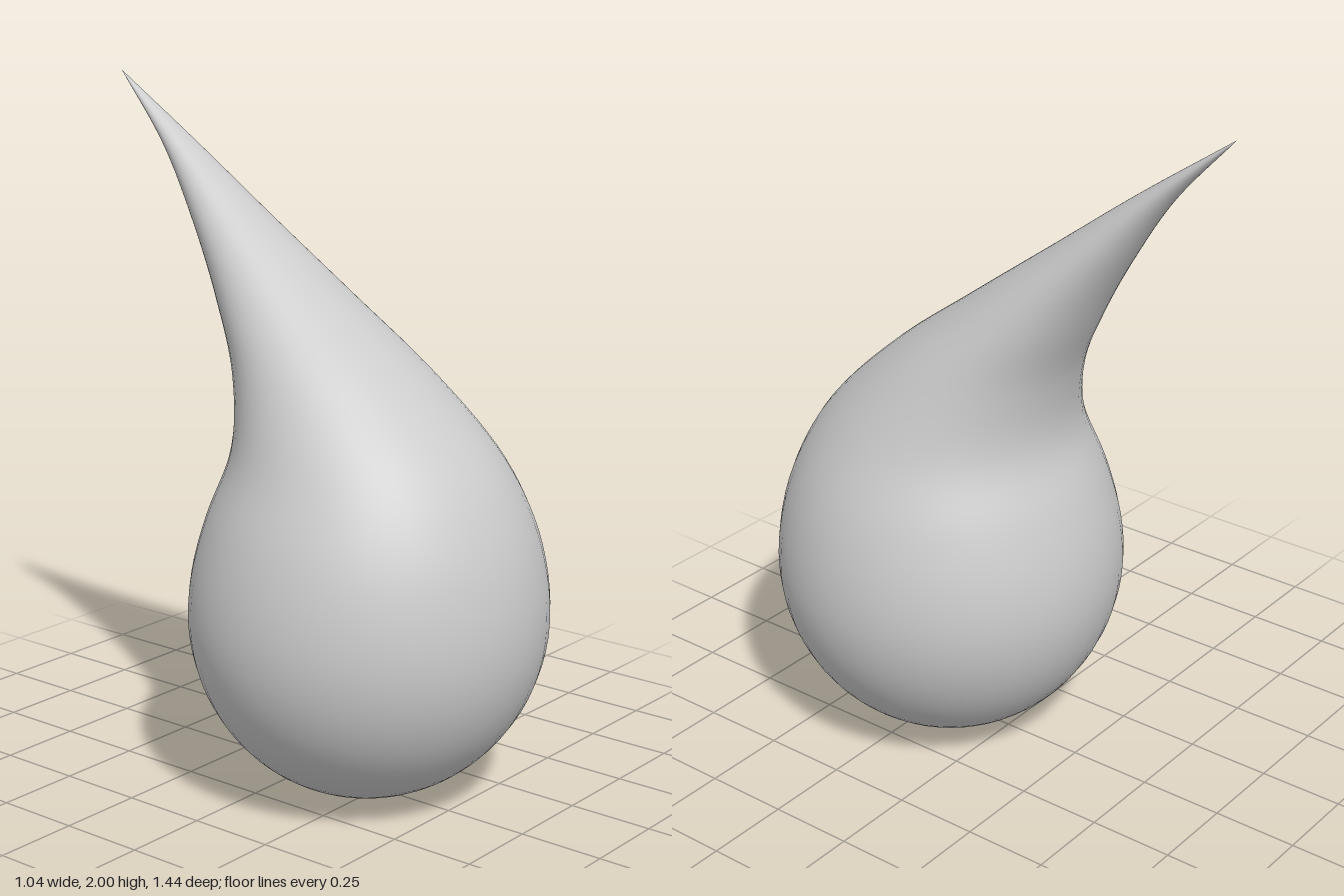
import * as THREE from 'three';
import { mergeVertices } from 'three/addons/utils/BufferGeometryUtils.js';

const SIDES = 48, RINGS = 64;

export function createModel() {
  const group = new THREE.Group();
  group.name = 'teardrop';

  // Each point holds ring radius, height and the z of the ring's centre.
  const rings = [];
  // round belly, from the lowest point to the widest ring
  for (let i = 0; i <= 8; i++) {
    const a = (i / 8) * Math.PI / 2;
    rings.push(new THREE.Vector3(0.518 * Math.sin(a), 0.54 - 0.535 * Math.cos(a), 0.203 + 0.01 * Math.sin(a)));
  }
  // tapering tail that sweeps backwards to a point
  for (const [r, y, z] of [
    [0.505, 0.67, 0.214], [0.463, 0.82, 0.214], [0.38, 1.0, 0.196],
    [0.288, 1.2, 0.085], [0.2, 1.4, -0.09], [0.121, 1.6, -0.281],
    [0.053, 1.8, -0.482], [0, 2, -0.715],
  ]) rings.push(new THREE.Vector3(r, y, z));
  const path = new THREE.CatmullRomCurve3(rings).getSpacedPoints(RINGS);

  // Turn the profile, then slide every ring to its centre.
  const profile = path.map((p) => new THREE.Vector2(Math.max(p.x, 0), p.y));
  let geometry = new THREE.LatheGeometry(profile, SIDES);
  const pos = geometry.attributes.position;
  for (let i = 0; i < pos.count; i++) {
    pos.setZ(i, pos.getZ(i) * 0.98 + path[i % path.length].z);
  }

  // Weld the seam and poles for unbroken smooth shading.
  geometry.deleteAttribute('uv');
  geometry.deleteAttribute('normal');
  geometry = mergeVertices(geometry, 1e-5);
  geometry.computeVertexNormals();

  const drop = new THREE.Mesh(geometry, new THREE.MeshStandardMaterial({ color: 0xcccccc }));
  drop.name = 'dropBody';
  group.add(drop);
  return group;
}
